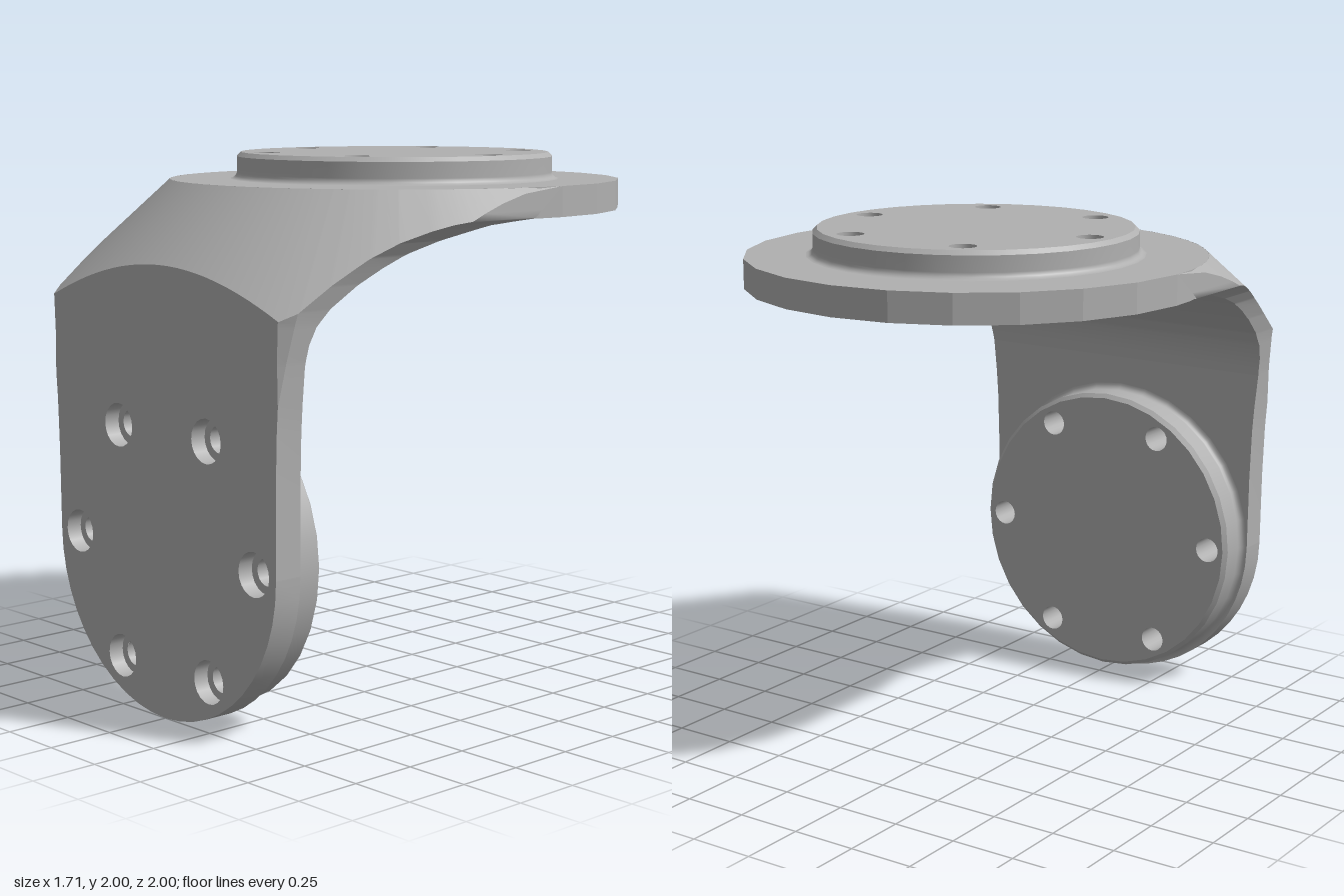
import * as THREE from 'three';

const V = (x, y, z) => new THREE.Vector3(x, y, z);
const AXIS_Z = -0.145, FLANGE_R = 0.855, TOP = 1.9, UNDER = 1.79;
const PLATE_R = 0.61, BACK_Z = 0.89, SLOPE = 0.914;
const BOLT_R = 0.495, HOLE = 0.05, BORE = 0.08, CORNER_Y = 1.513;

// half width of the bracket at each height
const WIDTH = [[0.61, 0.61], [0.9, 0.612], [1.1, 0.618], [1.2, 0.625], [1.35, 0.64], [1.48, 0.66],
  [CORNER_Y, 0.667], [1.6, 0.692], [1.68, 0.725], [1.73, 0.76], [1.765, 0.8], [1.785, 0.83],
  [1.795, FLANGE_R], [TOP, FLANGE_R]];
// depth of the inner curved face at each height
const INNER = [[0, BACK_Z], [1.33, BACK_Z], [1.4, 0.88], [1.46, 0.855], [1.52, 0.8], [1.59, 0.7],
  [1.645, 0.6], [1.69, 0.5], [1.727, 0.38], [1.775, 0.18], [UNDER, 0], [TOP, AXIS_Z]];

function lookup(table, y) {
  for (let i = 1; i < table.length; i++) {
    const [y0, v0] = table[i - 1], [y1, v1] = table[i];
    if (y <= y1) return v0 + (v1 - v0) * Math.max(0, (y - y0) / (y1 - y0));
  }
  return table[table.length - 1][1];
}
const halfWidth = (y) => y < PLATE_R
  ? Math.sqrt(Math.max(0, PLATE_R ** 2 - (PLATE_R - y) ** 2)) : lookup(WIDTH, y);
const coneY = (x, z) => TOP - (Math.hypot(x, z - AXIS_Z) - FLANGE_R) * SLOPE;

// smooth sheet through rows of points
function sheet(rows) {
  const n = rows[0].length, index = [];
  for (let i = 0; i < rows.length - 1; i++) {
    for (let j = 0; j < n - 1; j++) {
      const a = i * n + j, b = a + n;
      index.push(a, a + 1, b, a + 1, b + 1, b);
    }
  }
  const g = new THREE.BufferGeometry().setFromPoints(rows.flat());
  g.setIndex(index);
  g.computeVertexNormals();
  return g;
}

const boltSpots = (cx, cy) => Array.from({ length: 6 }, (_, i) => {
  const a = i * Math.PI / 3;
  return [cx + BOLT_R * Math.cos(a), cy + BOLT_R * Math.sin(a)];
});
function holedShape(points, spots, r) {
  const s = new THREE.Shape(points.map(([x, y]) => new THREE.Vector2(x, y)));
  for (const [x, y] of spots) s.holes.push(new THREE.Path().absarc(x, y, r, 0, Math.PI * 2, true));
  return s;
}
const circle = (r, n, cy = 0) => Array.from({ length: n }, (_, i) => {
  const a = i / n * Math.PI * 2;
  return [r * Math.cos(a), cy + r * Math.sin(a)];
});
// closed outline from its right half, listed bottom to top
const mirrored = (half) => [...half, ...half.filter(([x]) => x > 1e-4).reverse().map(([x, y]) => [-x, y])];
const tube = (r, h) => new THREE.CylinderGeometry(r, r, h, 20, 1, true);

export function createModel() {
  const model = new THREE.Group();
  const metal = new THREE.MeshStandardMaterial({ color: 0xb0b0b0, side: THREE.DoubleSide });
  metal.name = 'plain grey metal';
  const add = (name, geometry, parent = model) => {
    const m = new THREE.Mesh(geometry, metal);
    m.name = name;
    parent.add(m);
    return m;
  };

  // heights where the bracket is sampled, including the rounded lower end
  const arc = Array.from({ length: 13 }, (_, i) => PLATE_R * (1 - Math.cos(i / 12 * Math.PI / 2)));
  const heights = [...new Set([...arc, ...WIDTH.map((p) => p[0]), ...INNER.map((p) => p[0]),
    1.82, 1.85, 1.88])].sort((a, b) => a - b);
  const stations = heights.map((y) => {
    const w = halfWidth(y), zi = lookup(INNER, y);
    const t = Math.max(0, (y - 1.2) / (CORNER_Y - 1.2));
    const r = FLANGE_R + (TOP - y) / SLOPE;
    const zo = y < CORNER_Y ? 1 - 0.0544 * t : AXIS_Z + Math.sqrt(Math.max(0, r * r - w * w));
    const fx = w - 0.037 * t;
    return { y, w, zi, zo, fx, fy: Math.min(y, coneY(fx, 1)) };
  });
  const lower = stations.filter((s) => s.y <= CORNER_Y);
  const upper = stations.filter((s) => s.y >= CORNER_Y);

  // side walls and the eased front corners
  for (const [side, k] of [['left', 1], ['right', -1]]) {
    const row = (p, q) => (k > 0 ? [p, q] : [q, p]);
    add(side + 'Wall', sheet(stations.map((s) => row(V(k * s.w, s.y, s.zo), V(k * s.w, s.y, s.zi)))));
    add(side + 'FrontCorner', sheet(lower.filter((s) => s.y > 1.15)
      .map((s) => row(V(k * s.fx, s.fy, 1), V(k * s.w, s.y, s.zo)))));
  }

  // front face with counterbored bolt holes
  const cornerX = lower[lower.length - 1].fx;
  const edge = Array.from({ length: 25 }, (_, i) => {
    const x = cornerX * (1 - i / 12);
    return V(x, coneY(x, 1), 1);
  });
  const frontHalf = [...lower.map((s) => [s.fx, s.fy]), ...edge.slice(1, 13).map((p) => [p.x, p.y])];
  const plateSpots = boltSpots(0, PLATE_R + 0.003);
  add('frontFace', new THREE.ShapeGeometry(holedShape(mirrored(frontHalf), plateSpots, BORE), 10))
    .position.z = 1;
  for (const [x, y] of plateSpots) {
    const bore = add('counterbore', tube(BORE, 0.06));
    bore.rotation.x = Math.PI / 2;
    bore.position.set(x, y, 0.97);
    add('counterboreFloor', new THREE.RingGeometry(HOLE, BORE, 20)).position.set(x, y, 0.94);
  }

  // back of the upright plate, open behind the round pad
  const backHalf = stations.filter((s) => s.y <= 1.33).map((s) => [s.w, s.y]);
  const back = add('backFace', new THREE.ShapeGeometry(
    holedShape(mirrored(backHalf), [[0, PLATE_R]], 0.585), 20));
  back.position.z = BACK_Z;

  // sloping conical shoulder
  const rim = [...upper.slice().reverse().map((s) => V(s.w, s.y, s.zo)), ...edge,
    ...upper.map((s) => V(-s.w, s.y, s.zo))];
  add('shoulder', sheet(rim.map((p) => {
    const f = FLANGE_R / Math.hypot(p.x, p.z - AXIS_Z);
    return [V(p.x * f, TOP, AXIS_Z + (p.z - AXIS_Z) * f), p];
  })));

  // curved underside, with a sloping panel holding two bolt openings
  const innerRows = (lo, hi) => sheet(stations.filter((s) => s.y >= lo && s.y <= hi)
    .map((s) => [V(s.w, s.y, s.zi), V(-s.w, s.y, s.zi)]));
  add('innerCurve', innerRows(1.33, 1.727));
  add('innerCurveEnd', innerRows(1.775, UNDER));
  const panelY = (z) => 1.727 + (0.38 - z) / 0.2 * 0.048;
  const boltX = BOLT_R / 2, boltZ = AXIS_Z + BOLT_R * Math.sqrt(3) / 2;
  const panelHalf = stations.filter((s) => s.y >= 1.727 && s.y <= 1.775).map((s) => [s.w, s.zi]);
  const panel = new THREE.ShapeGeometry(
    holedShape(mirrored(panelHalf), [[boltX, boltZ], [-boltX, boltZ]], BORE), 10);
  const pp = panel.attributes.position;
  for (let i = 0; i < pp.count; i++) pp.setXYZ(i, pp.getX(i), panelY(pp.getY(i)), pp.getY(i));
  panel.computeVertexNormals();
  add('innerPanel', panel);
  for (const k of [1, -1]) {
    const g = tube(BORE, 1).translate(k * boltX, 0, boltZ), p = g.attributes.position;
    for (let i = 0; i < p.count; i++) p.setY(i, p.getY(i) > 0 ? UNDER : panelY(p.getZ(i)));
    add('underBore', g);
  }

  // round flange: faceted behind, finer where it meets the shoulder
  const flangePts = [
    ...circle(FLANGE_R, 24).slice(0, 13), ...circle(FLANGE_R, 48).slice(25)];
  const flange = add('flange', new THREE.ExtrudeGeometry(
    holedShape(flangePts, boltSpots(0, 0), HOLE), { depth: TOP - UNDER, bevelEnabled: false, curveSegments: 10 }));
  flange.rotation.x = -Math.PI / 2;
  flange.position.set(0, UNDER, AXIS_Z);

  // raised round pad with a filleted foot, chamfered rim and bolt holes
  function pad(name, r, h, depth) {
    const g = new THREE.Group();
    g.name = name;
    const c = 0.016, f = 0.025;
    const foot = Array.from({ length: 6 }, (_, i) => {
      const a = i / 5 * Math.PI / 2;
      return new THREE.Vector2(r + f * (1 - Math.sin(a)), f * (1 - Math.cos(a)));
    });
    add('padWall', new THREE.LatheGeometry([...foot, new THREE.Vector2(r, h - c)], 32), g);
    add('padChamfer', new THREE.LatheGeometry(
      [new THREE.Vector2(r, h - c), new THREE.Vector2(r - c, h)], 32), g);
    const cap = new THREE.ShapeGeometry(holedShape(circle(r - c, 32), boltSpots(0, 0), HOLE), 10);
    add('padFace', cap.rotateX(-Math.PI / 2).translate(0, h, 0), g);
    for (const [x, z] of boltSpots(0, 0)) {
      add('boltHole', tube(HOLE, h + depth), g).position.set(x, (h - depth) / 2, z);
    }
    model.add(g);
    return g;
  }
  pad('topPad', 0.602, 0.1, TOP - UNDER).position.set(0, TOP, AXIS_Z);
  const backPad = pad('backPad', 0.583, 0.125, 0.05);
  backPad.rotation.x = -Math.PI / 2;
  backPad.position.set(0, PLATE_R + 0.002, BACK_Z);
  return model;
}
